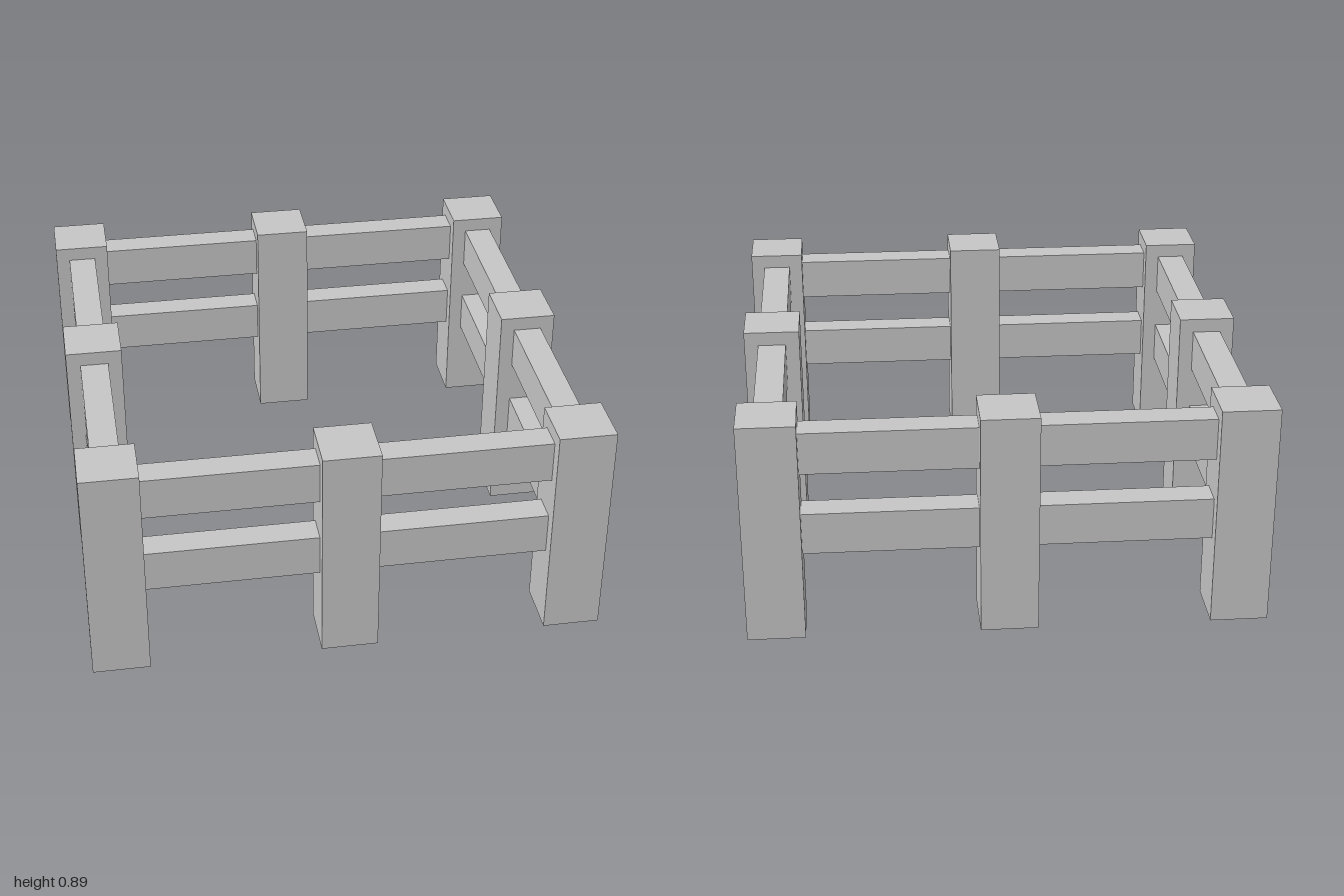
import * as THREE from 'three';

export function createModel() {
  const model = new THREE.Group();
  model.name = 'squareFence';
  const grey = new THREE.MeshStandardMaterial({ color: 0xc6c6c6 });
  grey.name = 'lightGrey';

  const post = 2 / 9, height = 8 / 9, reach = 8 / 9; // reach: centre to post centre
  const railThick = 1 / 9, railHeight = 1 / 6;
  const railLength = reach - post;
  const postGeometry = new THREE.BoxGeometry(post, height, post);
  const railGeometry = new THREE.BoxGeometry(railLength, railHeight, railThick);

  function add(parent, name, geometry, x, y, z) {
    const mesh = new THREE.Mesh(geometry, grey);
    mesh.name = name;
    mesh.position.set(x, y, z);
    parent.add(mesh);
  }

  // Four identical sides, each with a corner post, a middle post and two pairs of rails
  ['front', 'left', 'back', 'right'].forEach((sideName, i) => {
    const side = new THREE.Group();
    side.name = sideName + 'Side';
    side.rotation.y = i * Math.PI / 2;
    add(side, 'cornerPost', postGeometry, -reach, height / 2, reach);
    add(side, 'middlePost', postGeometry, 0, height / 2, reach);
    for (const x of [-reach / 2, reach / 2]) {
      add(side, 'lowerRail', railGeometry, x, 5 / 12, reach);
      add(side, 'upperRail', railGeometry, x, 3 / 4, reach);
    }
    model.add(side);
  });

  return model;
}
